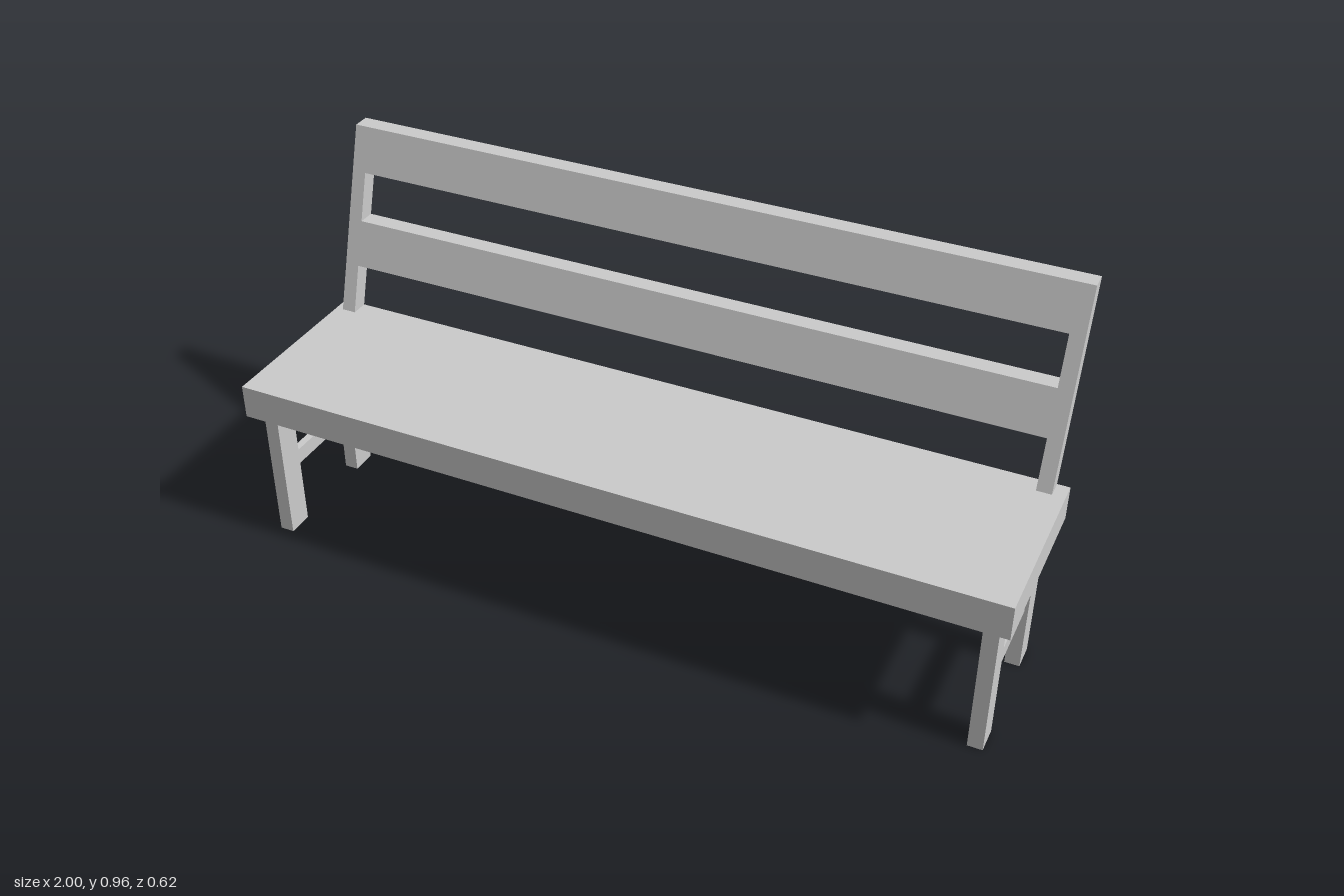
import * as THREE from 'three';

const material = new THREE.MeshStandardMaterial({ color: 0xcccccc, flatShading: true });

// Box given by its lower and upper limits on each axis
function slab(name, [x0, x1], [y0, y1], [z0, z1]) {
  const mesh = new THREE.Mesh(new THREE.BoxGeometry(x1 - x0, y1 - y0, z1 - z0), material);
  mesh.position.set((x0 + x1) / 2, (y0 + y1) / 2, (z0 + z1) / 2);
  mesh.name = name;
  return mesh;
}

const SEAT_BOTTOM = 0.387, SEAT_TOP = 0.477, TOP = 0.958;
const LEFT = [0.93, 0.968], RIGHT = [-0.98, -0.942]; // x limits of the legs and posts

// Backrest: one board with an open bottom and a slot, sheared backwards
function createBackrest() {
  const outer = new THREE.Shape([
    [RIGHT[0], SEAT_TOP], [RIGHT[1], SEAT_TOP], [RIGHT[1], 0.601], [LEFT[0], 0.601],
    [LEFT[0], SEAT_TOP], [LEFT[1], SEAT_TOP], [LEFT[1], TOP], [RIGHT[0], TOP],
  ].map(([x, y]) => new THREE.Vector2(x, y)));
  outer.holes.push(new THREE.Path([
    [RIGHT[1], 0.718], [RIGHT[1], 0.842], [LEFT[0], 0.842], [LEFT[0], 0.718],
  ].map(([x, y]) => new THREE.Vector2(x, y))));

  const geometry = new THREE.ExtrudeGeometry(outer, { depth: 0.046, bevelEnabled: false });
  const slope = 0.149 / (TOP - SEAT_TOP);
  const p = geometry.attributes.position;
  for (let i = 0; i < p.count; i++) {
    p.setZ(i, p.getZ(i) - 0.162 - (p.getY(i) - SEAT_TOP) * slope);
  }
  geometry.computeVertexNormals();
  const mesh = new THREE.Mesh(geometry, material);
  mesh.name = 'backrest';
  return mesh;
}

export function createModel() {
  const bench = new THREE.Group();
  bench.name = 'bench';
  bench.add(slab('seat', [-1, 1], [SEAT_BOTTOM, SEAT_TOP], [-0.162, 0.312]));
  bench.add(createBackrest());

  // A front leg, a back leg and a stretcher at each end
  for (const [side, x] of [['left', LEFT], ['right', RIGHT]]) {
    const mid = (x[0] + x[1]) / 2;
    const frame = new THREE.Group();
    frame.name = side + 'LegFrame';
    frame.add(
      slab(side + 'FrontLeg', x, [0, SEAT_BOTTOM], [0.198, 0.267]),
      slab(side + 'BackLeg', x, [0, SEAT_BOTTOM], [-0.115, -0.046]),
      slab(side + 'Stretcher', [mid - 0.01, mid + 0.01], [0.172, 0.215], [-0.046, 0.198]),
    );
    bench.add(frame);
  }
  return bench;
}
